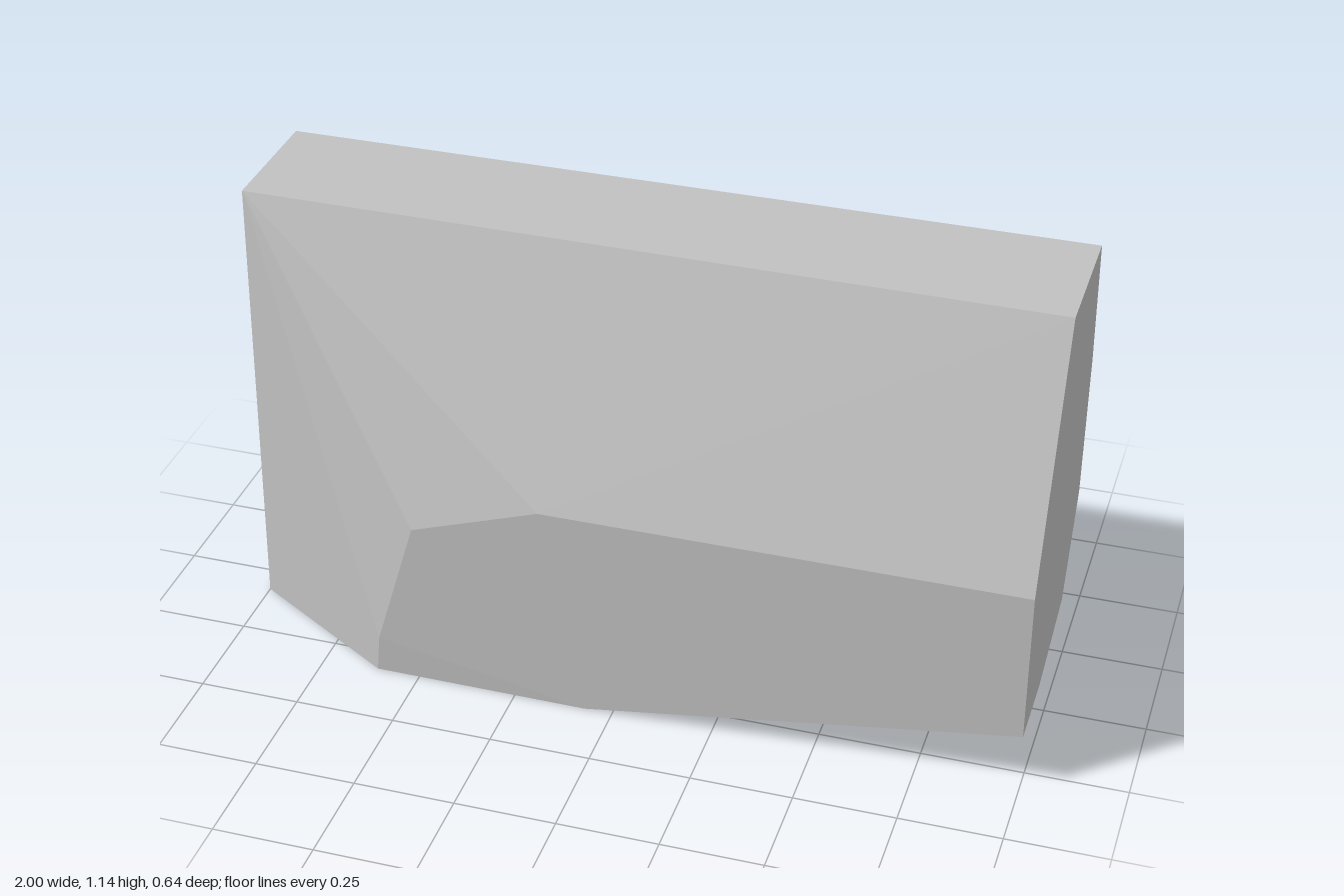
import * as THREE from 'three';
import { ConvexGeometry } from 'three/addons/geometries/ConvexGeometry.js';

export function createModel() {
  const model = new THREE.Group();
  const grey = new THREE.MeshStandardMaterial({ color: 0xc0c0c0 });
  grey.name = 'plainGrey';

  // Left-hand end face of the slab, as [y, z] around its outline
  const largeEnd = [
    [1.14, 0.065], [1.14, -0.28], [0.82, -0.303], [0.46, -0.285],
    [0.23, -0.15], [0.163, 0.12], [0.16, 0.32], [0.55, 0.32],
  ].map(([y, z]) => [1, y, z]);

  // Narrow opposite end
  const narrowEnd = [[1.14, 0.05], [1.14, -0.28], [0, -0.29], [0, 0.08]]
    .map(([y, z]) => [-1, y, z]);

  // Flat underside, as [x, z]
  const underside = [[-0.61, 0.316], [-0.07, 0.32], [-0.08, 0.12], [-0.19, -0.2], [-0.545, -0.314]]
    .map(([x, z]) => [x, 0, z]);

  // Corners of the front facets
  const front = [[-0.6, 0.1, 0.32], [-0.5, 0.44, 0.32], [-0.18, 0.55, 0.32]];

  // Slight bulge of the back
  const back = [[-0.5, 0.1, -0.317], [-0.55, 0.45, -0.311], [0.1, 0.75, -0.305]];

  const corners = [...largeEnd, ...narrowEnd, ...underside, ...front, ...back]
    .map((p) => new THREE.Vector3(...p));
  const slab = new THREE.Mesh(new ConvexGeometry(corners), grey);
  slab.name = 'facetedSlab';
  model.add(slab);
  return model;
}
